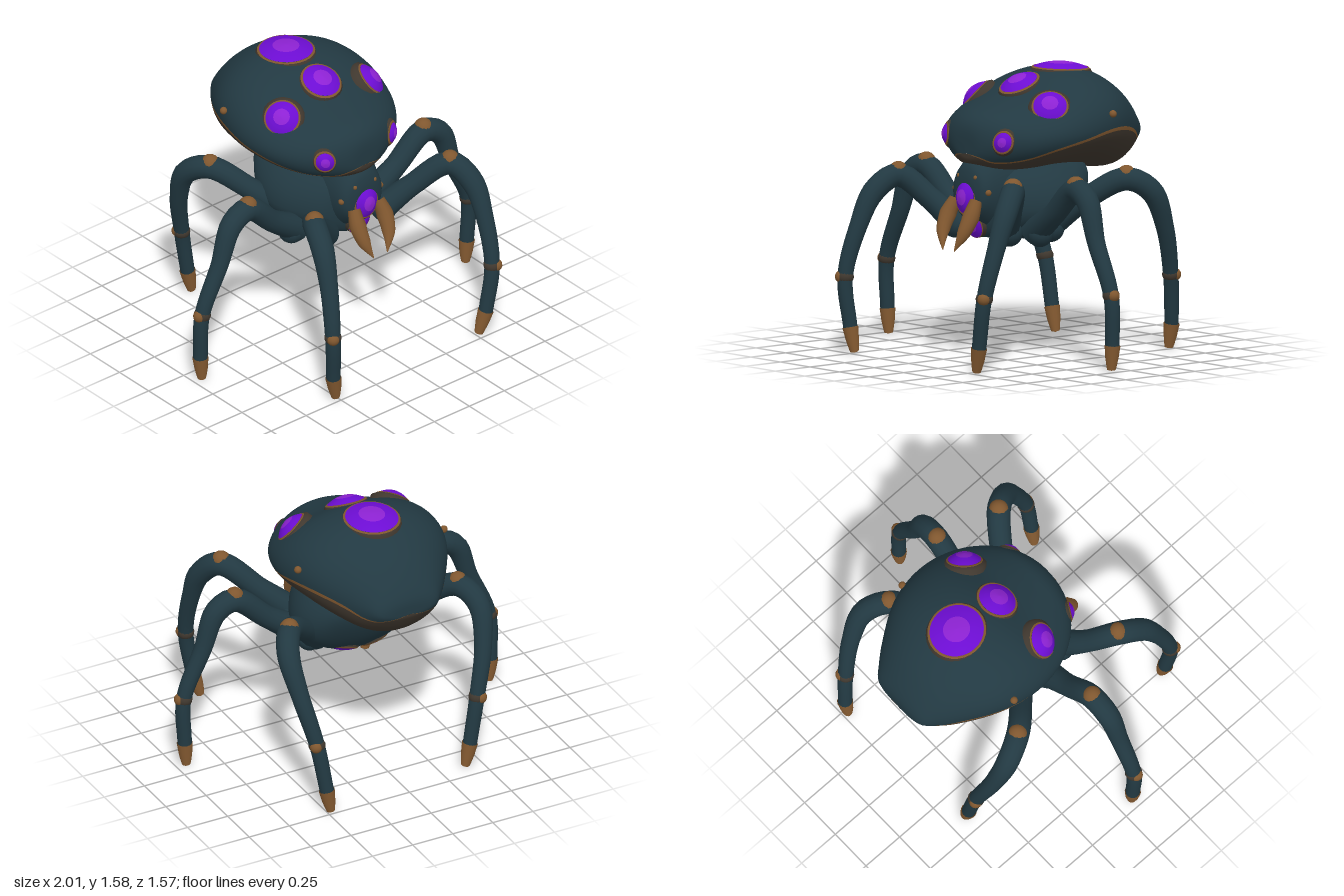
import * as THREE from 'three';

const mat = (name, color) => Object.assign(new THREE.MeshStandardMaterial({ color }), { name });

export function createModel() {
  const root = new THREE.Group();
  root.name = 'spider';
  const body = new THREE.Group();
  body.name = 'body';
  body.position.x = 0.0125;
  root.add(body);
  const shell = mat('dark teal', 0x223942);
  const taupe = mat('dark taupe', 0x40382f);
  const brown = mat('horn brown', 0x80572f);
  const purple = mat('eye purple', 0x6d0dd3);
  const violet = mat('eye violet', 0x8d22d3);

  const add = (name, geometry, material, parent = body) => {
    const m = new THREE.Mesh(geometry, material);
    m.name = name;
    parent.add(m);
    return m;
  };
  const V = (p) => new THREE.Vector3(...p);

  // Body surface through sections [z, halfWidth, top, middle, bottom, seam], front to back;
  // range() gives the start and end angle of the band, from the seam angle
  const loft = (keys, range, cols = 40, rows = 44) => {
    const spline = (k) => new THREE.CatmullRomCurve3(
      keys.map((s) => new THREE.Vector3(s[k], s[k + 1], s[k + 2] ?? 0)), false, 'catmullrom', 0.5);
    const c1 = spline(0), c2 = spline(3), pos = [], index = [];
    for (let i = 0; i <= rows; i++) {
      const { x: z, y: w, z: top } = c1.getPoint(i / rows);
      const { x: mid, y: bot, z: seam } = c2.getPoint(i / rows);
      const d = seam - mid;
      const a = Math.asin(THREE.MathUtils.clamp(d / (d > 0 ? top - mid : mid - bot), -0.93, 0.5));
      const [a0, a1] = range(a);
      for (let j = 0; j <= cols; j++) {
        const t = a0 + (a1 - a0) * j / cols, s = Math.sin(t);
        pos.push(w * Math.cos(t), mid + s * (s > 0 ? top - mid : mid - bot), z);
        if (i < rows && j < cols) {
          const p = i * (cols + 1) + j, q = p + cols + 1;
          index.push(p, q, p + 1, q, q + 1, p + 1);
        }
      }
    }
    const g = new THREE.BufferGeometry();
    g.setAttribute('position', new THREE.Float32BufferAttribute(pos, 3));
    g.setIndex(index);
    g.computeVertexNormals();
    return g;
  };
  const around = () => [-Math.PI / 2, Math.PI * 1.5];

  // Tapered tube: one radius for each path point
  const limb = (points, radii, segments = 36, sides = 14) => {
    const curve = new THREE.CatmullRomCurve3(points.map(V));
    const g = new THREE.TubeGeometry(curve, segments, 1, sides);
    const p = g.attributes.position, v = new THREE.Vector3();
    for (let i = 0; i <= segments; i++) {
      const c = curve.getPointAt(i / segments);
      const f = curve.getUtoTmapping(i / segments) * (radii.length - 1);
      const k = Math.min(Math.floor(f), radii.length - 2);
      const r = THREE.MathUtils.lerp(radii[k], radii[k + 1], f - k);
      for (let j = 0; j <= sides; j++) {
        const n = i * (sides + 1) + j;
        v.fromBufferAttribute(p, n).sub(c).multiplyScalar(r).add(c);
        p.setXYZ(n, v.x, v.y, v.z);
      }
    }
    return g;
  };
  const ball = (name, p, r, material, parent = body) => {
    const m = add(name, new THREE.SphereGeometry(r, 16, 12), material, parent);
    m.position.set(...p);
    return m;
  };

  // Abdomen: upper shell, brown seam and taupe underside
  const abdomen = [
    [0.347, 0.002, 1.132, 1.13, 1.128, 1.129],
    [0.338, 0.12, 1.27, 1.175, 1.085, 1.117],
    [0.28, 0.25, 1.342, 1.2, 1.045, 1.09],
    [0.18, 0.36, 1.38, 1.21, 1.025, 1.11],
    [0.04, 0.44, 1.435, 1.23, 1.02, 1.17],
    [-0.13, 0.476, 1.528, 1.25, 1.03, 1.215],
    [-0.3, 0.462, 1.56, 1.27, 1.02, 1.25],
    [-0.45, 0.41, 1.535, 1.27, 0.99, 1.25],
    [-0.6, 0.315, 1.455, 1.23, 0.98, 1.21],
    [-0.7, 0.235, 1.355, 1.2, 1.035, 1.15],
    [-0.765, 0.16, 1.25, 1.18, 1.125, 1.145],
    [-0.775, 0.002, 1.162, 1.16, 1.158, 1.159],
  ];
  const seamWidth = 0.075;
  add('abdomenShell', loft(abdomen, (a) => [a, Math.PI - a]), shell);
  add('abdomenUnderside', loft(abdomen, (a) => [Math.PI - a + seamWidth, 2 * Math.PI + a - seamWidth]), taupe);
  add('leftSeam', loft(abdomen, (a) => [a - seamWidth, a], 3), brown);
  add('rightSeam', loft(abdomen, (a) => [Math.PI - a, Math.PI - a + seamWidth], 3), brown);

  // Thorax and head
  add('thorax', loft([
    [0.29, 0.002, 0.85, 0.84, 0.83],
    [0.26, 0.12, 0.98, 0.82, 0.68],
    [0.2, 0.22, 1.04, 0.82, 0.65],
    [0.05, 0.31, 1.08, 0.82, 0.64],
    [-0.08, 0.34, 1.1, 0.83, 0.62],
    [-0.2, 0.32, 1.1, 0.86, 0.65],
    [-0.3, 0.26, 1.1, 0.92, 0.75],
    [-0.37, 0.18, 1.08, 0.98, 0.88],
    [-0.4, 0.002, 1.02, 1.01, 1.0],
  ], around), shell);
  add('head', loft([
    [0.36, 0.002, 0.895, 0.89, 0.885],
    [0.35, 0.09, 1.01, 0.9, 0.79],
    [0.315, 0.14, 1.08, 0.91, 0.75],
    [0.22, 0.16, 1.14, 0.91, 0.68],
    [0.08, 0.17, 1.14, 0.9, 0.66],
  ], around), shell);

  // Domed eye with a low rim, facing along a normal; edge is the share of the rim that is brown
  const eye = (name, p, normal, r, R, h, edge, stretch = 1) => {
    const g = new THREE.Group();
    g.name = name;
    g.position.set(...p);
    g.quaternion.setFromUnitVectors(new THREE.Vector3(0, 1, 0), V(normal).normalize());
    g.scale.z = stretch;
    const lathe = (pts) => new THREE.LatheGeometry(pts.map((q) => new THREE.Vector2(...q)), 28);
    const dome = (x) => [x * r, 0.01 + h * (1 - x * x)];
    const m = r + (R - r) * edge;
    add('outerRim', lathe([[R * 1.04, -0.04], [R, -0.008], [m, 0.004]]), taupe, g);
    add('innerRim', lathe([[m, 0.004], [r * 1.02, 0.011], [r * 0.97, 0.004]]), brown, g);
    add('iris', lathe([1, 0.85, 0.7, 0.5].map(dome)), purple, g);
    add('pupil', lathe([0.5, 0.25, 0].map(dome)), violet, g);
    body.add(g);
  };
  eye('crownEye', [0, 1.538, -0.335], [0, 1, -0.05], 0.145, 0.165, 0.03, 0.6, 1.06);
  eye('browEye', [0, 1.48, -0.037], [0, 0.9, 0.43], 0.106, 0.126, 0.035, 0.6);
  eye('faceEye', [0, 0.885, 0.346], [0, 0.08, 1], 0.075, 0.086, 0.035, 0.9, 1.18);
  eye('chinEye', [0, 0.725, 0.285], [0, -0.25, 0.95], 0.07, 0.075, 0.015, 0.4);
  for (const s of [-1, 1]) {
    eye('sideEye', [s * 0.315, 1.39, 0.01], [s * 0.55, 0.68, 0.48], 0.092, 0.12, 0.038, 0.35);
    eye('smallEye', [s * 0.237, 1.208, 0.28], [s * 0.5, 0.08, 0.86], 0.05, 0.07, 0.022, 0.5, 1.12);
    eye('bellyEye', [s * 0.095, 0.668, -0.18], [s * 0.25, -0.88, -0.4], 0.078, 0.088, 0.015, 0.8);
    ball('sideStud', [s * 0.455, 1.335, -0.325], 0.021, brown);
    ball('cheekStud', [s * 0.138, 0.92, 0.305], 0.018, brown);
    ball('browStud', [s * 0.07, 1.0, 0.338], 0.013, brown);
    // Curved fang
    add('fang', limb([[s * 0.086, 0.87, 0.35], [s * 0.097, 0.79, 0.395], [s * 0.087, 0.7, 0.44], [s * 0.048, 0.6, 0.475]],
      [0.035, 0.048, 0.037, 0.002], 20), brown);
  }

  // Legs: hip, thigh, top joint, two shin points, knee, ankle, foot
  const legs = {
    rightFrontLeg: [[-0.18, 0.7, 0.23], [-0.32, 0.84, 0.32], [-0.44, 0.97, 0.45], [-0.49, 0.89, 0.58], [-0.52, 0.7, 0.67], [-0.55, 0.42, 0.74], [-0.53, 0.14, 0.72], [-0.505, 0, 0.71]],
    leftFrontLeg: [[0.2, 0.7, 0.23], [0.36, 0.84, 0.32], [0.53, 0.98, 0.45], [0.6, 0.88, 0.56], [0.615, 0.7, 0.64], [0.605, 0.42, 0.72], [0.56, 0.14, 0.72], [0.52, 0, 0.705]],
    rightMiddleLeg: [[-0.24, 0.69, 0.07], [-0.43, 0.81, 0.08], [-0.62, 0.97, 0.095], [-0.74, 0.92, 0.1], [-0.83, 0.7, 0.105], [-0.95, 0.42, 0.1], [-0.955, 0.14, 0.09], [-0.945, 0, 0.09]],
    leftMiddleLeg: [[0.26, 0.69, 0.07], [0.44, 0.81, 0.08], [0.64, 0.97, 0.09], [0.75, 0.92, 0.1], [0.83, 0.7, 0.105], [0.95, 0.42, 0.1], [0.95, 0.14, 0.09], [0.94, 0, 0.09]],
    rightRearLeg: [[-0.19, 0.7, -0.06], [-0.36, 0.86, -0.2], [-0.51, 0.98, -0.36], [-0.57, 0.91, -0.49], [-0.55, 0.7, -0.58], [-0.48, 0.42, -0.64], [-0.43, 0.14, -0.65], [-0.4, 0, -0.65]],
    leftRearLeg: [[0.21, 0.7, -0.06], [0.37, 0.86, -0.2], [0.54, 0.98, -0.36], [0.61, 0.91, -0.48], [0.595, 0.7, -0.59], [0.54, 0.42, -0.68], [0.5, 0.14, -0.72], [0.475, 0, -0.72]],
  };
  for (const [name, path] of Object.entries(legs)) {
    const g = new THREE.Group();
    g.name = name;
    root.add(g);
    add('limb', limb(path.slice(0, 7), [0.08, 0.062, 0.066, 0.064, 0.05, 0.043, 0.04]), shell, g);
    ball('hip', path[0].map((c, i) => (i === 0 ? c * 1.2 : c)), 0.074, shell, g);
    const [x, y, z] = path[2];
    ball('topJoint', [x, y + 0.022, z], 0.054, brown, g);
    // Knee band with a horn plate on its outer side
    const [kx, ky, kz] = path[5], away = 0.021 / Math.hypot(kx, kz);
    ball('kneeBand', path[5], 0.048, taupe, g).scale.y = 0.9;
    ball('kneePlate', [kx * (1 + away), ky, kz * (1 + away)], 0.036, brown, g);
    // Blunt claw
    const [a, f] = [path[6], path[7]];
    const at = (t) => a.map((c, i) => c + (f[i] - c) * t);
    add('claw', limb([at(-0.08), at(0), at(0.5), at(0.96), at(1)], [0.02, 0.045, 0.037, 0.023, 0], 26), brown, g);
  }
  return root;
}
